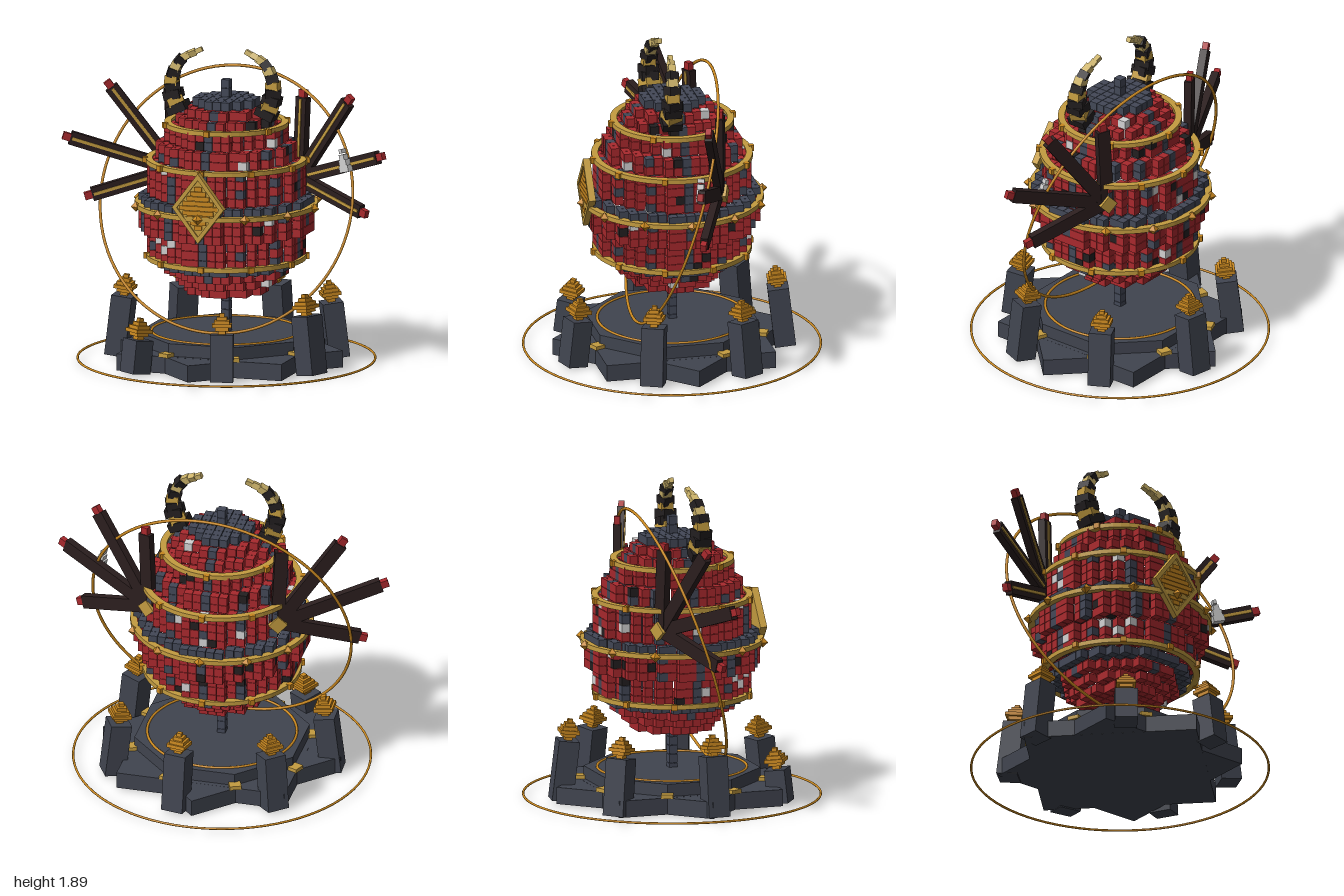
import * as THREE from 'three';
import { mergeGeometries } from 'three/addons/utils/BufferGeometryUtils.js';

const mat = (name, color) => {
  const m = new THREE.MeshStandardMaterial({ color });
  m.name = name;
  return m;
};

export function createModel() {
  const red = mat('red', 0xa9292d), slate = mat('slate', 0x434857), stone = mat('stone', 0x40444f);
  const black = mat('black', 0x231f20), white = mat('white', 0xd2d2d2), brown = mat('dark wood', 0x2b1e1e);
  const paleGold = mat('pale gold', 0xc49c40), gold = mat('gold', 0xc8871f), horn = mat('horn', 0xccb36a);

  const model = new THREE.Group();
  const add = (parent, name, geo, material, x = 0, y = 0, z = 0) => {
    const m = new THREE.Mesh(geo, material);
    m.name = name;
    m.position.set(x, y, z);
    parent.add(m);
    return m;
  };
  const group = (parent, name, x = 0, y = 0, z = 0) => {
    const g = new THREE.Group();
    g.name = name;
    g.position.set(x, y, z);
    parent.add(g);
    return g;
  };
  const box = (w, h, d) => new THREE.BoxGeometry(w, h, d);
  let seed = 7;
  const rnd = () => (seed = (seed * 16807) % 2147483647) / 2147483647;

  // Block lantern body: one radius per layer, only exposed cells are kept
  const P = 0.053, Y0 = 0.422;
  const radii = [4, 5, 6, 7, 8, 8, 8, 9, 9, 9, 9, 8, 8, 8, 8, 7, 7, 6, 6, 5, 4, 3];
  const filled = (i, j, k) => j >= 0 && j < radii.length && Math.hypot(i, k) <= radii[j] + 0.35;
  const cells = new Map([[red, []], [slate, []], [black, []], [white, []]]);
  const cell = (i, j, k, m) =>
    cells.get(m).push(box(P * 0.95, P * 0.95, P * 0.95).translate(i * P, Y0 + (j + 0.5) * P, k * P));
  const pick = (i, j, k) => {
    const near = Math.min(Math.abs(i), Math.abs(k)), r = rnd();
    if (j === 3 || j === 10 || j === 21) return slate;
    if (near === 0 && j > 1 && r < 0.9) return slate;
    if (near === 4 && Math.max(Math.abs(i), Math.abs(k)) > 5 && r < 0.5) return slate;
    return r > 0.97 ? white : r > 0.94 ? black : red;
  };
  radii.forEach((n, j) => {
    for (let i = -n; i <= n; i++) for (let k = -n; k <= n; k++) {
      if (!filled(i, j, k)) continue;
      const inside = filled(i + 1, j, k) && filled(i - 1, j, k) && filled(i, j, k + 1) &&
        filled(i, j, k - 1) && filled(i, j + 1, k) && filled(i, j - 1, k);
      if (!inside) cell(i, j, k, pick(i, j, k));
    }
  });
  // Stem blocks above and below the body
  for (const j of [-5, -4, -3, -2, -1, 22, 23]) cell(0, j, 0, slate);
  const body = group(model, 'lanternBody');
  for (const [m, list] of cells) add(body, m.name + 'Blocks', mergeGeometries(list), m);

  // Gold hoops with studs
  const hoops = [[1.43, 0.365, 6], [1.21, 0.475, 10], [0.95, 0.54, 12], [0.635, 0.47, 10]];
  for (const [y, r, n] of hoops) {
    const hoop = group(model, 'hoop', 0, y, 0);
    const profile = [[r - 0.04, -0.014], [r, -0.014], [r, 0.014], [r - 0.04, 0.014], [r - 0.04, -0.014]];
    const band = new THREE.LatheGeometry(profile.map(p => new THREE.Vector2(...p)), 48).toNonIndexed();
    band.computeVertexNormals();
    add(hoop, 'hoopBand', band, paleGold);
    for (let i = 0; i < n; i++) {
      const a = i / n * Math.PI * 2;
      const stud = add(hoop, 'hoopStud', n === 12 ? new THREE.OctahedronGeometry(0.032) : box(0.034, 0.034, 0.03),
        gold, Math.sin(a) * (r + 0.002), 0, Math.cos(a) * (r + 0.002));
      stud.rotation.y = a;
    }
  }

  // Front diamond plaque with stepped bars inside a frame
  const plaque = group(model, 'frontPlaque', 0, 1.015, 0.495);
  const diamond = (T, w, h) => {
    const s = new T();
    s.moveTo(0, -h); s.lineTo(w, 0); s.lineTo(0, h); s.lineTo(-w, 0); s.closePath();
    return s;
  };
  const frame = diamond(THREE.Shape, 0.16, 0.21);
  frame.holes.push(diamond(THREE.Path, 0.13, 0.17));
  add(plaque, 'plaqueFrame', new THREE.ExtrudeGeometry(frame, { depth: 0.042, bevelEnabled: false }), paleGold);
  add(plaque, 'plaqueBack', new THREE.ExtrudeGeometry(diamond(THREE.Shape, 0.135, 0.175),
    { depth: 0.03, bevelEnabled: false }), paleGold);
  for (let i = -4; i <= 4; i++)
    add(plaque, 'plaqueBar', box(0.235 - Math.abs(i) * 0.047, 0.026, 0.03), gold, 0, i * 0.029, 0.024);

  // Star base, upper platform and inlays
  const base = group(model, 'base');
  for (const a of [0, Math.PI / 4])
    add(base, 'baseStar', box(1.02, 0.1, 1.02), stone, 0, a ? 0.06 : 0.0605, 0).rotation.y = a;
  add(base, 'basePlatform', new THREE.CylinderGeometry(0.52, 0.52, 0.1, 8).toNonIndexed(), stone, 0, 0.135, 0)
    .rotation.y = Math.PI / 8;
  base.children[2].geometry.computeVertexNormals();
  const ring = (parent, name, r, t, y) => {
    const m = add(parent, name, new THREE.TorusGeometry(r, t, 8, 80), gold, 0, y, 0);
    m.rotation.x = Math.PI / 2;
    return m;
  };
  ring(base, 'platformRing', 0.44, 0.008, 0.187);
  ring(base, 'groundRing', 0.875, 0.007, 0.024);
  for (let i = 0; i < 8; i++) {
    const a = (i + 0.5) * Math.PI / 4;
    add(base, 'baseClasp', box(0.07, 0.024, 0.06), paleGold, Math.sin(a) * 0.54, 0.12, Math.cos(a) * 0.54)
      .rotation.y = a;
  }

  // Leaning pillars with stepped finials
  [0.28, 0.35, 0.33, 0.36, 0.34, 0.36, 0.2].forEach((top, i) => {
    const a = (16 + i * 360 / 7) * Math.PI / 180;
    const pillar = group(model, 'pillar', Math.sin(a) * 0.665, 0.01, Math.cos(a) * 0.665);
    pillar.rotation.order = 'YXZ';
    pillar.rotation.set(-0.12, a, 0);
    add(pillar, 'pillarShaft', box(0.135, top, 0.125), stone, 0, top / 2, 0);
    [0.045, 0.08, 0.115, 0.09, 0.06, 0.03].forEach((w, t) =>
      add(pillar, 'finialTier', box(w, 0.021, w), gold, 0, top + 0.01 + t * 0.021, 0));
  });

  // Large tilted halo ring
  const halo = add(model, 'haloRing', new THREE.TorusGeometry(0.795, 0.009, 8, 96), gold, 0, 0.972, 0);
  halo.rotation.set(-0.31, -0.06, 0);

  for (const s of [1, -1]) {
    // Fan of dark beams on each side, swept forward
    const fan = group(model, s > 0 ? 'leftFan' : 'rightFan', s * 0.385, 1.09, -0.2);
    fan.rotation.y = -s * 0.4;
    [[87, 0.505], [53, 0.645], [18, 0.67], [-16, 0.53]].forEach(([deg, len], i) => {
      const a = deg * Math.PI / 180;
      const beam = group(fan, 'fanBeam', 0, 0, (i - 1.5) * 0.004);
      beam.rotation.z = s > 0 ? a : Math.PI - a;
      add(beam, 'beamShaft', box(len - 0.02, 0.08, 0.045), brown, (len - 0.02) / 2, 0, 0);
      add(beam, 'beamInlay', box(len - 0.12, 0.018, 0.008), paleGold, len / 2 + 0.03, 0, 0.025);
      add(beam, 'beamTip', box(0.05, 0.045, 0.035), red, len, 0, 0);
    });
    add(fan, 'fanHub', box(0.08, 0.08, 0.03), paleGold, 0, 0, -0.03).rotation.z = Math.PI / 4;

    // White stepped charm on the left fan only
    if (s > 0) {
      const charm = group(fan, 'charm', 0.39, 0.16, 0.045);
      charm.rotation.z = 0.25;
      [[0.07, 0.04], [0.055, 0.04], [0.035, 0.03], [0.022, 0.025]].forEach(([w, h], i) =>
        add(charm, 'charmTier', box(w, h, 0.04), white, 0, -0.05 + i * 0.035, 0));
    }

    // Curved horn of tapering blocks
    const hornGroup = group(model, s > 0 ? 'leftHorn' : 'rightHorn');
    const path = new THREE.CatmullRomCurve3([[0.265, 1.5, 0.07], [0.305, 1.6, 0.07], [0.31, 1.7, 0.07],
      [0.26, 1.805, 0.06], [0.14, 1.872, 0.045]].map(([x, y, z]) => new THREE.Vector3(s * x, y, z)));
    const N = 11, up = new THREE.Vector3(0, 1, 0);
    for (let i = 0; i < N; i++) {
      const t = (i + 0.5) / N, w = 0.115 - 0.088 * t;
      const dark = [0, 2, 3, 5, 7].includes(i);
      const seg = add(hornGroup, 'hornSegment', box(w * (dark ? 1.06 : 0.94), 0.053, w * (dark ? 1.06 : 0.94)),
        dark ? black : i < 5 ? paleGold : horn);
      seg.position.copy(path.getPointAt(t));
      seg.quaternion.setFromUnitVectors(up, path.getTangentAt(t));
      seg.rotateY(i % 2 ? 0.35 : 0);
    }
  }
  return model;
}
